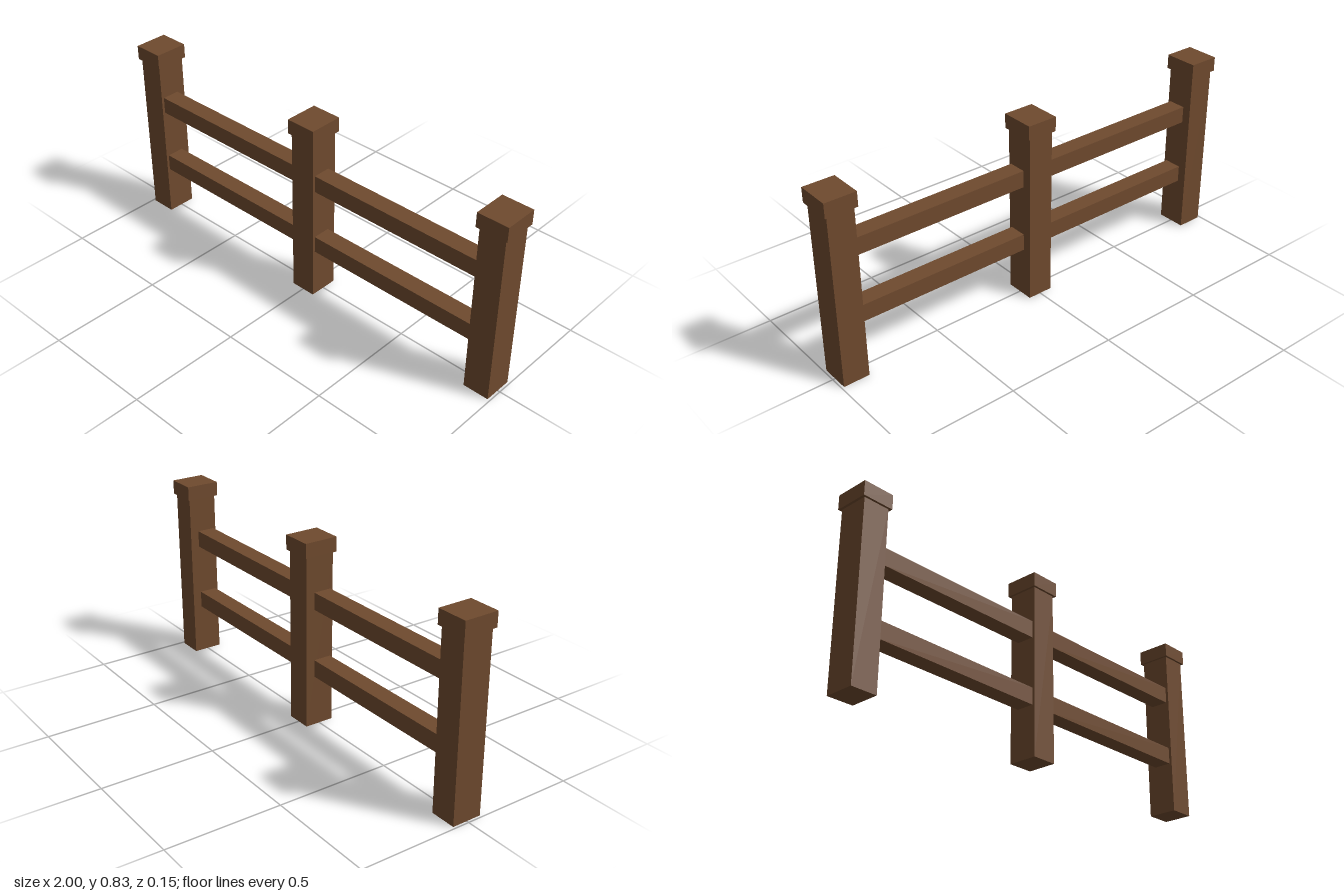
import * as THREE from 'three';

export function createModel() {
  const fence = new THREE.Group();
  fence.name = 'fence';
  const wood = new THREE.MeshStandardMaterial({ color: 0x6f4a2e });
  wood.name = 'brown wood';

  const addBox = (parent, name, size, position) => {
    const mesh = new THREE.Mesh(new THREE.BoxGeometry(...size), wood);
    mesh.name = name;
    mesh.position.set(...position);
    parent.add(mesh);
  };

  const spacing = 0.931;
  const postHeight = 0.768;
  const capHeight = 0.064;
  const postWidth = 0.116;

  // Three posts, each with a wider square cap
  ['right', 'middle', 'left'].forEach((side, i) => {
    const post = new THREE.Group();
    post.name = `${side}Post`;
    post.position.x = (i - 1) * spacing;
    addBox(post, 'postShaft', [postWidth, postHeight, 0.132], [0, postHeight / 2, 0]);
    addBox(post, 'postCap', [0.138, capHeight, 0.152], [0, postHeight + capHeight / 2, 0]);
    fence.add(post);
  });

  // Two rails per bay, set slightly forward of the post centres
  const railLength = spacing - postWidth + 0.01;
  for (const [side, sign] of [['right', -1], ['left', 1]]) {
    for (const [level, y] of [['Lower', 0.265], ['Upper', 0.57]]) {
      addBox(fence, `${side}${level}Rail`, [railLength, 0.076, 0.08], [sign * spacing / 2, y, 0.014]);
    }
  }
  return fence;
}
